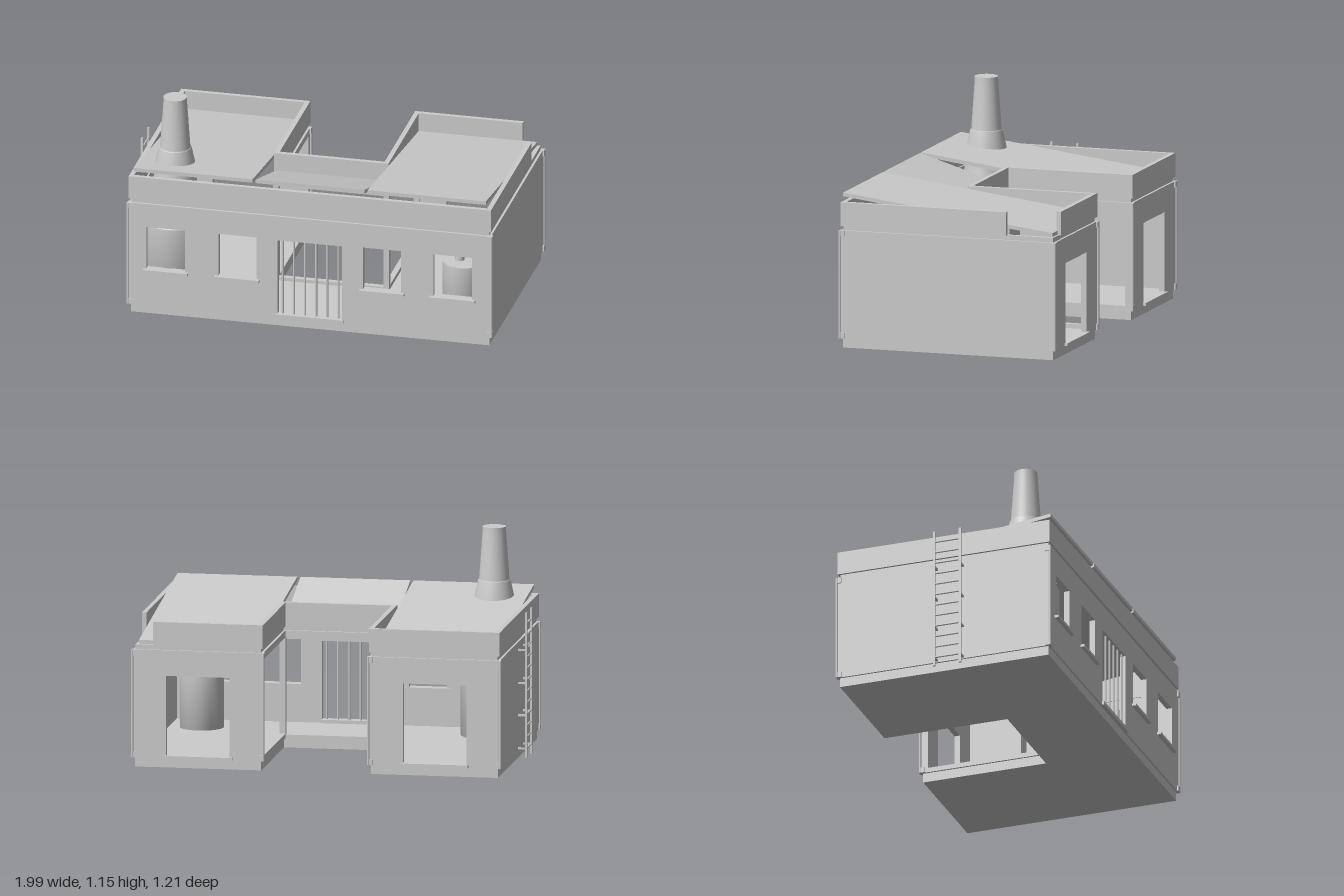
import * as THREE from 'three';

const grey = new THREE.MeshStandardMaterial({ color: 0xcccccc, side: THREE.DoubleSide });
grey.name = 'plain grey';

// Outer outline of the U-shaped plan
const X0 = -0.95, X1 = 0.985, Z0 = -0.595, Z1 = 0.58, CX0 = -0.26, CX1 = 0.3, CZ = 0.085;

export function createModel() {
  const root = new THREE.Group();
  root.name = 'building';

  const add = (name, geo, parent = root) => {
    const m = new THREE.Mesh(geo, grey);
    m.name = name;
    parent.add(m);
    return m;
  };
  // Box given by its limits
  const box = (name, x0, x1, y0, y1, z0, z1, parent) => {
    const m = add(name, new THREE.BoxGeometry(x1 - x0, y1 - y0, z1 - z0), parent);
    m.position.set((x0 + x1) / 2, (y0 + y1) / 2, (z0 + z1) / 2);
    return m;
  };
  const group = (name) => {
    const g = new THREE.Group();
    g.name = name;
    root.add(g);
    return g;
  };
  // U-shaped plan outline, moved inwards by d
  const plan = (d) => [
    [X0 + d, Z0 + d], [CX0 - d, Z0 + d], [CX0 - d, CZ + d], [CX1 + d, CZ + d],
    [CX1 + d, Z0 + d], [X1 - d, Z0 + d], [X1 - d, Z1 - d], [X0 + d, Z1 - d],
  ].map(([x, z]) => new THREE.Vector2(x, -z));
  const planSolid = (name, y0, y1, d, thick) => {
    const s = new THREE.Shape(plan(d));
    if (thick) s.holes.push(new THREE.Path(plan(d + thick)));
    const g = new THREE.ExtrudeGeometry(s, { depth: y1 - y0, bevelEnabled: false });
    g.rotateX(-Math.PI / 2);
    add(name, g).position.y = y0;
  };
  // Wall facing z with rectangular openings [x0, x1, y0, y1]
  const wall = (name, x0, x1, z0, z1, openings) => {
    const rect = (P, a, b, c, d) => new P([[a, c], [b, c], [b, d], [a, d]].map(p => new THREE.Vector2(...p)));
    const s = rect(THREE.Shape, x0, x1, 0.05, 0.62);
    for (const o of openings) s.holes.push(rect(THREE.Path, ...o));
    add(name, new THREE.ExtrudeGeometry(s, { depth: z1 - z0, bevelEnabled: false })).position.z = z0;
  };

  // Floor plinth and the recessed seam below the parapet
  planSolid('plinth', 0, 0.052, 0.01);
  planSolid('recessedBand', 0.615, 0.645, 0.012, 0.022);

  // Front wall with four windows and a barred gate
  const windows = [[-0.855, -0.65], [-0.47, -0.268], [0.302, 0.505], [0.678, 0.885]];
  const gate = [-0.155, 0.19, 0.07, 0.485];
  wall('frontWall', X0, X1, 0.55, Z1, [...windows.map(([a, b]) => [a, b, 0.252, 0.49]), gate]);
  for (const [a, b] of windows) box('windowSill', a - 0.018, b + 0.018, 0.24, 0.254, 0.545, 0.602);
  box('gateSill', -0.165, 0.2, 0.05, 0.07, 0.54, 0.592);
  for (let i = 0; i < 6; i++) {
    const bar = add('gateBar', new THREE.CylinderGeometry(0.006, 0.006, 0.42, 8));
    bar.position.set(-0.13 + i * 0.0595, 0.277, 0.565);
  }

  // Side walls
  box('rightSideWall', X0, X0 + 0.03, 0.05, 0.62, Z0, Z1);
  box('leftSideWall', X1 - 0.03, X1, 0.05, 0.62, Z0, Z1);

  // Rear wing walls with doorways
  wall('rearWall', X0, CX0, Z0, Z0 + 0.03, [[-0.775, -0.44, 0.065, 0.485]]);
  wall('rearWall', CX1, X1, Z0, Z0 + 0.03, [[0.475, 0.81, 0.065, 0.485]]);
  for (const [a, b] of [[-0.785, -0.428], [0.46, 0.822]])
    box('doorSill', a, b, 0.05, 0.065, -0.612, -0.56);

  // Open frames around the courtyard
  const frames = group('courtyardFrames');
  for (const [a, b] of [[CX0 - 0.03, CX0], [CX1, CX1 + 0.03]]) {
    box('bottomRail', a, b, 0.05, 0.075, Z0, CZ, frames);
    box('topRail', a, b, 0.585, 0.62, Z0, CZ, frames);
    box('post', a, b, 0.05, 0.62, CZ - 0.005, CZ + 0.03, frames);
    box('post', a, b, 0.05, 0.62, Z0, Z0 + 0.04, frames);
  }
  box('bottomRail', CX0, CX1, 0.05, 0.07, CZ, CZ + 0.03, frames);
  box('topRail', CX0, CX1, 0.585, 0.62, CZ, CZ + 0.03, frames);

  // Slim corner bars with end brackets
  for (const [x, z, sx, sz] of [[X0, Z0, -1, -1], [X0, Z1, -1, 1], [X1, Z0, 1, -1], [X1, Z1, 1, 1],
    [CX0, Z0, 1, -1], [CX1, Z0, -1, -1]]) {
    const c = group('cornerBar');
    const bar = add('bar', new THREE.CylinderGeometry(0.007, 0.007, 0.57, 8), c);
    bar.position.set(x + sx * 0.003, 0.335, z + sz * 0.003);
    for (const y of [0.065, 0.605]) {
      const b = add('bracket', new THREE.BoxGeometry(0.03, 0.03, 0.03), c);
      b.position.set(x - sx * 0.007, y, z - sz * 0.007);
    }
  }

  // Parapet, left open at one rear corner
  const P = group('parapet'), t = 0.025, lo = 0.643, hi = 0.768;
  box('parapetFront', X0, X1, lo, hi, Z1 - t, Z1, P);
  box('parapetSide', X0, X0 + t, lo, hi, Z0, Z1, P);
  box('parapetSide', X1 - t, X1, lo, hi, -0.33, Z1, P);
  box('parapetRear', X0, CX0, lo, hi, Z0, Z0 + t, P);
  box('parapetRear', CX1, 0.88, lo, hi, Z0, Z0 + t, P);
  box('parapetCourt', CX0 - t, CX0, lo, hi, Z0, CZ + t, P);
  box('parapetCourt', CX1, CX1 + t, lo, hi, Z0, CZ + t, P);
  box('parapetCourt', CX0, CX1, lo, hi, CZ, CZ + t, P);

  // Sloping roof panels: top surface runs from the front edge down to the rear
  const roof = (x0, x1, zr, yr) => {
    const zf = 0.575, yf = 0.815, d = 0.02;
    const s = new THREE.Shape([[zr, yr - d], [zf, yf - d], [zf, yf], [zr, yr]]
      .map(([z, y]) => new THREE.Vector2(-z, y)));
    const g = new THREE.ExtrudeGeometry(s, { depth: x1 - x0, bevelEnabled: false });
    g.rotateY(Math.PI / 2);
    add('roofPanel', g).position.x = x0;
  };
  roof(-0.925, -0.288, -0.575, 0.667);
  roof(-0.272, 0.308, 0.105, 0.67);
  roof(0.325, 0.957, -0.575, 0.667);

  // Round furnace below and its tapering chimney
  const lathe = (name, pts, x, z) => add(name, new THREE.LatheGeometry(
    pts.map(p => new THREE.Vector2(...p)), 32), root).position.set(x, 0, z);
  lathe('furnace', [[0, 0.05], [0.175, 0.05], [0.175, 0.47], [0.175, 0.47], [0.125, 0.56], [0.11, 0.72]], -0.75, 0.375);
  lathe('chimney', [[0.11, 0.7], [0.108, 0.765], [0.085, 0.87], [0.085, 0.87], [0.079, 0.875],
    [0.062, 1.12], [0.061, 1.152], [0.061, 1.152], [0, 1.152]], -0.75, 0.375);

  // Drum with outlet and a small cabinet inside the other wing
  lathe('drum', [[0, 0.05], [0.115, 0.05], [0.115, 0.365], [0.115, 0.365], [0, 0.365]], 0.785, 0.33);
  lathe('drumOutlet', [[0.025, 0.36], [0.025, 0.455], [0.025, 0.455], [0, 0.455]], 0.76, 0.33);
  box('cabinet', 0.41, 0.49, 0.05, 0.31, -0.18, -0.08);

  // Ladder on the side wall
  const L = group('ladder'), lx = -0.993;
  for (const z of [-0.043, 0.1]) {
    box('rail', lx - 0.006, lx + 0.006, 0.01, 0.778, z - 0.006, z + 0.006, L);
    for (const y of [0.06, 0.235, 0.405, 0.58]) box('bracket', lx, X0, y - 0.005, y + 0.005, z - 0.005, z + 0.005, L);
  }
  for (let i = 0; i < 12; i++) {
    const r = add('rung', new THREE.CylinderGeometry(0.005, 0.005, 0.143, 8), L);
    r.rotation.x = Math.PI / 2;
    r.position.set(lx, 0.06 + i * 0.06, 0.0285);
  }
  return root;
}
